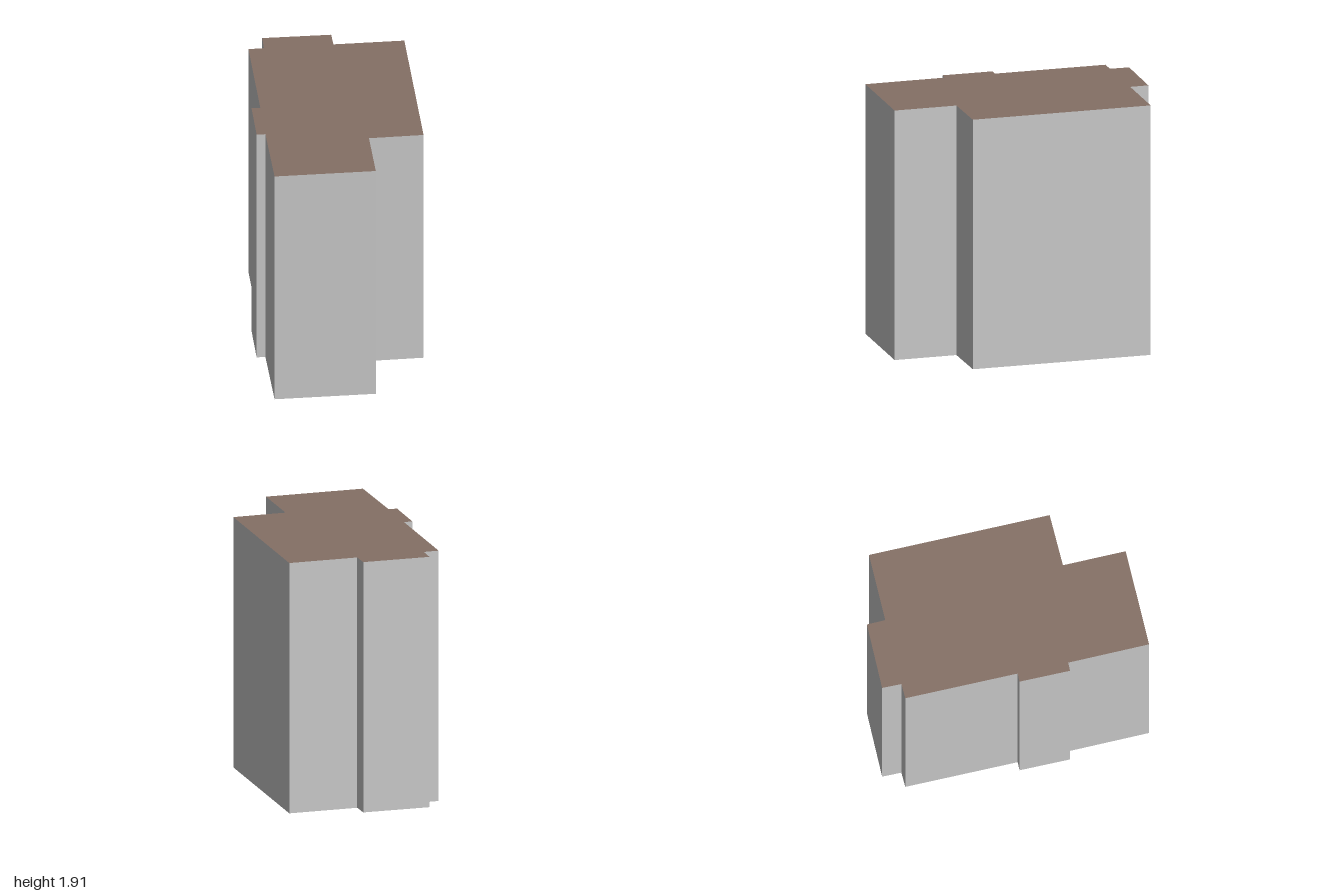
import * as THREE from 'three';

const HEIGHT = 1.91;

// Building footprint as [x, z] corners, slightly skewed
const FOOTPRINT = [
  [-0.53, 1.0], [0.22, 0.985], [0.21, 0.51], [0.615, 0.497],
  [0.59, -0.87], [0.065, -0.86], [0.06, -1.0], [-0.45, -0.995],
  [-0.45, -0.85], [-0.565, -0.845], [-0.55, 0.005], [-0.615, 0.005],
  [-0.61, 0.387], [-0.545, 0.387],
];

export function createModel() {
  const wall = new THREE.MeshStandardMaterial({ color: 0xc8c8c8 });
  wall.name = 'wallGrey';
  const roof = new THREE.MeshStandardMaterial({ color: 0x857065 });
  roof.name = 'roofBrown';

  // Shape y is -z, so the extrusion stands upright after the turn
  const shape = new THREE.Shape(FOOTPRINT.map(([x, z]) => new THREE.Vector2(x, -z)));
  const geometry = new THREE.ExtrudeGeometry(shape, { depth: HEIGHT, bevelEnabled: false });
  geometry.rotateX(-Math.PI / 2);

  // Split the caps: grey underside first, then brown roof, then grey walls
  const [caps, sides] = geometry.groups;
  const half = caps.count / 2;
  geometry.clearGroups();
  geometry.addGroup(caps.start, half, 0);
  geometry.addGroup(caps.start + half, half, 1);
  geometry.addGroup(sides.start, sides.count, 0);

  const building = new THREE.Mesh(geometry, [wall, roof]);
  building.name = 'building';

  const model = new THREE.Group();
  model.name = 'flatRoofBuilding';
  model.add(building);
  return model;
}
